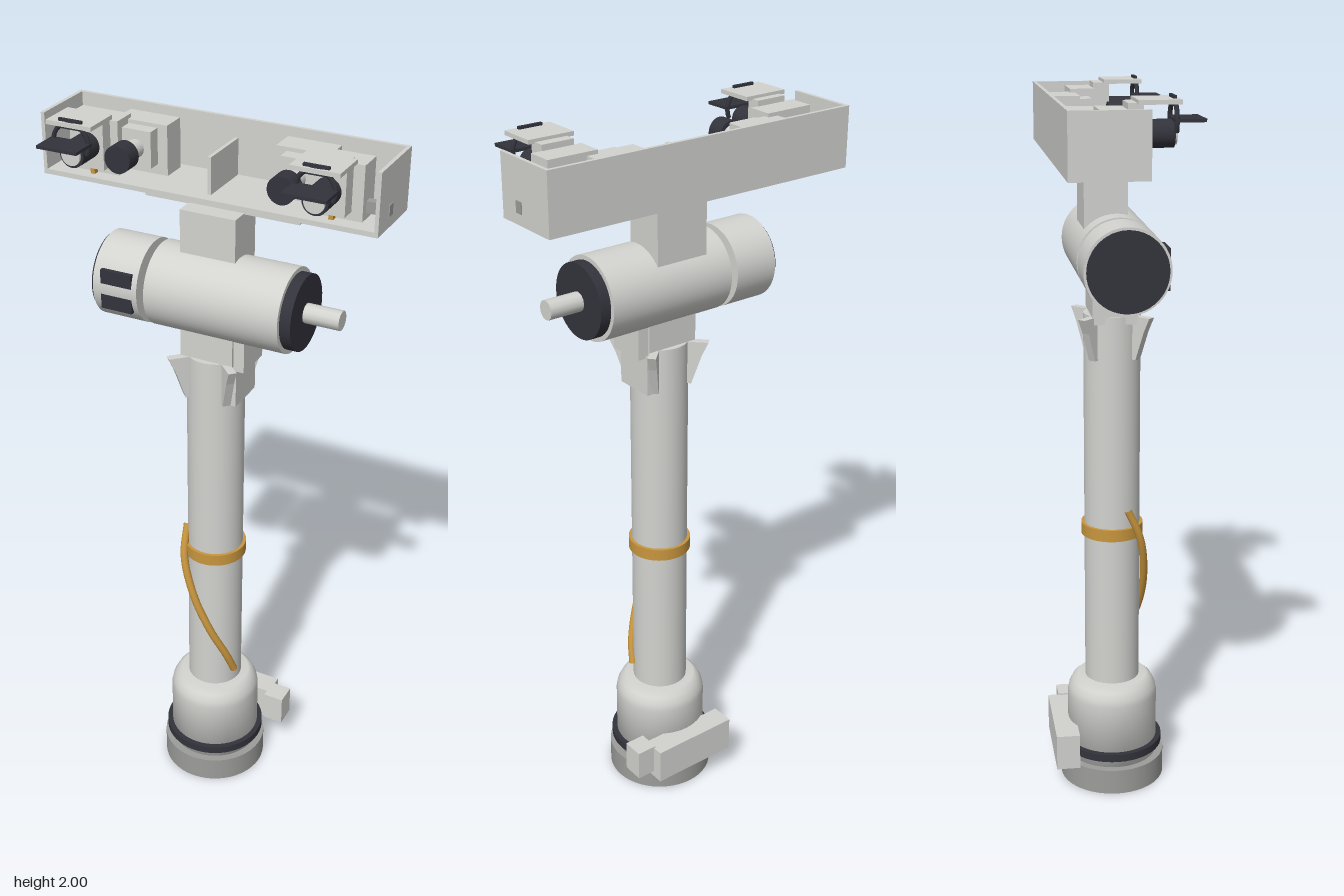
import * as THREE from 'three';

const mat = (name, color) => {
  const m = new THREE.MeshStandardMaterial({ color });
  m.name = name;
  return m;
};

export function createModel() {
  const light = mat('light grey', 0xd2d3cf);
  const grey = mat('mid grey', 0x9c9d9a);
  const dark = mat('charcoal', 0x33333c);
  const gold = mat('amber', 0xc8963e);
  const model = new THREE.Group();
  model.name = 'sensorMast';
  const CX = 0.023; // mast axis

  const add = (parent, name, geo, material) => {
    const m = new THREE.Mesh(geo, material);
    m.name = name;
    parent.add(m);
    return m;
  };
  // box from its min and max limits on each axis
  const box = (name, x0, x1, y0, y1, z0, z1, material = light, parent = model) =>
    add(parent, name, new THREE.BoxGeometry(x1 - x0, y1 - y0, z1 - z0)
      .translate((x0 + x1) / 2, (y0 + y1) / 2, (z0 + z1) / 2), material);
  const upright = (name, r, y0, y1, material) =>
    add(model, name, new THREE.CylinderGeometry(r, r, y1 - y0, 48).translate(CX, (y0 + y1) / 2, 0), material);
  const alongX = (name, r, x0, x1, material, sides = 48) =>
    add(model, name, new THREE.CylinderGeometry(r, r, x1 - x0, sides)
      .rotateZ(Math.PI / 2).translate((x0 + x1) / 2, 1.567, 0), material);
  const alongZ = (name, r, x, y, z0, z1, material, parent) =>
    add(parent, name, new THREE.CylinderGeometry(r, r, z1 - z0, 28)
      .rotateX(Math.PI / 2).translate(x, y, (z0 + z1) / 2), material);

  // base
  upright('baseDisc', 0.151, 0, 0.075, grey);
  const profile = [[0, 0.07], [0.13, 0.07], [0.13, 0.265], [0.126, 0.285], [0.116, 0.305], [0.1, 0.319], [0, 0.32]]
    .map(([r, y]) => new THREE.Vector2(r, y));
  add(model, 'baseHousing', new THREE.LatheGeometry(profile, 48).translate(CX, 0, 0), light);
  upright('baseSeal', 0.145, 0.1, 0.123, dark);
  box('connectorBar', -0.105, 0.155, 0.08, 0.185, -0.177, -0.11);
  box('connectorPlug', 0.15, 0.21, 0.1, 0.19, -0.147, -0.085);

  // column with strap and cable
  upright('column', 0.078, 0.31, 1.4, light);
  upright('strap', 0.087, 0.762, 0.796, gold);
  const path = [[-0.048, 0.85, 0.035], [-0.04, 0.76, 0.072], [-0.002, 0.64, 0.088], [0.046, 0.53, 0.082],
    [0.086, 0.43, 0.054], [0.1, 0.365, 0.03]].map((p) => new THREE.Vector3(...p));
  add(model, 'cable', new THREE.TubeGeometry(new THREE.CatmullRomCurve3(path), 40, 0.011, 10), gold);

  // column head: four gussets, a clamp and its lug
  const gusset = new THREE.Shape([[0.06, 1.4], [0.06, 1.28], [0.088, 1.28], [0.115, 1.36], [0.133, 1.4]]
    .map((p) => new THREE.Vector2(...p)));
  for (let i = 0; i < 4; i++) {
    const g = new THREE.ExtrudeGeometry(gusset, { depth: 0.022, bevelEnabled: false })
      .translate(0, 0, -0.011).rotateY(Math.PI / 4 + i * Math.PI / 2).translate(CX, 0, 0);
    add(model, 'gusset', g, light);
  }
  box('neck', -0.05, 0.1, 1.38, 1.5, -0.062, 0.062);
  box('sideLug', 0.09, 0.13, 1.385, 1.49, -0.055, 0.055);
  box('lugRib', 0.085, 0.108, 1.28, 1.39, -0.062, 0.055);

  // motor housing
  alongX('motorHousing', 0.112, -0.13, 0.245, light);
  alongX('motorEndCap', 0.112, -0.278, -0.15, light);
  alongX('endCapCover', 0.105, -0.285, -0.277, dark);
  alongX('motorFlange', 0.1, 0.244, 0.275, dark);
  alongX('motorShaft', 0.026, 0.27, 0.372, light, 12);
  box('motorPanel', -0.255, -0.165, 1.512, 1.62, 0.085, 0.111, dark);

  // bracket that carries the tray
  box('trayBracket', -0.065, 0.09, 1.64, 1.79, -0.085, 0.03);
  box('trayPlate', -0.19, 0.24, 1.787, 1.808, -0.077, -0.02);
  box('traySpacer', -0.06, 0.09, 1.8, 1.825, -0.077, -0.02);

  // open tray
  box('trayFloor', -0.46, 0.46, 1.815, 1.828, -0.168, 0.028);
  box('trayBack', -0.46, 0.46, 1.815, 1.977, -0.168, -0.158);
  for (const s of [-1, 1]) box('trayEnd', s * 0.455 - 0.005, s * 0.455 + 0.005, 1.815, 1.977, -0.168, 0.028);
  box('trayDivider', -0.005, 0.005, 1.825, 1.925, -0.16, -0.005);
  box('endPin', 0.395, 0.463, 1.845, 1.875, -0.056, -0.034, grey);

  // two sensor heads, mirrored
  for (const s of [-1, 1]) {
    const head = new THREE.Group();
    head.name = s < 0 ? 'rightSensorHead' : 'leftSensorHead';
    model.add(head);
    const part = (name, x0, x1, y0, y1, z0, z1, m = light) =>
      box(name, Math.min(s * x0, s * x1), Math.max(s * x0, s * x1), y0, y1, z0, z1, m, head);
    part('innerMount', 0.15, 0.293, 1.828, 1.96, -0.138, -0.068);
    part('outerMount', 0.262, 0.403, 1.828, 1.97, -0.083, -0.014);
    // small lens
    part('lensPlate', 0.178, 0.26, 1.855, 1.95, -0.069, -0.032);
    alongZ('lensBarrel', 0.024, s * 0.222, 1.902, -0.035, 0.02, light, head);
    alongZ('lensCap', 0.036, s * 0.222, 1.902, 0.015, 0.062, dark, head);
    // camera with hood, visor and guard ring
    const x = 0.329, dz = s > 0 ? 0.006 : 0;
    part('cameraMount', x - 0.045, x + 0.045, 1.85, 1.985, -0.016, 0.022 + dz);
    part('hood', x - 0.064, x + 0.064, 1.982, 1.993, 0.006 + dz, 0.11 + dz);
    alongZ('cameraBarrel', 0.034, s * x, 1.91, 0.015 + dz, 0.1 + dz, dark, head);
    alongZ('cameraLens', 0.027, s * x, 1.91, 0.098 + dz, 0.106 + dz, light, head);
    part('visor', x - 0.057, x + 0.057, 1.94, 1.948, 0.095 + dz, 0.17 + dz, dark);
    const ring = new THREE.TorusGeometry(0.05, 0.006, 8, 32, Math.PI * 1.3)
      .rotateZ(-Math.PI * 0.15).translate(s * x, 1.94, 0.1 + dz);
    add(head, 'guardRing', ring, dark);
    part('hoodTab', x - 0.033, x + 0.033, 1.975, 2.0, 0.094 + dz, 0.102 + dz, dark);
    part('wire', x - 0.006, x + 0.006, 1.828, 1.855, -0.012, 0.004, gold);
  }
  return model;
}
